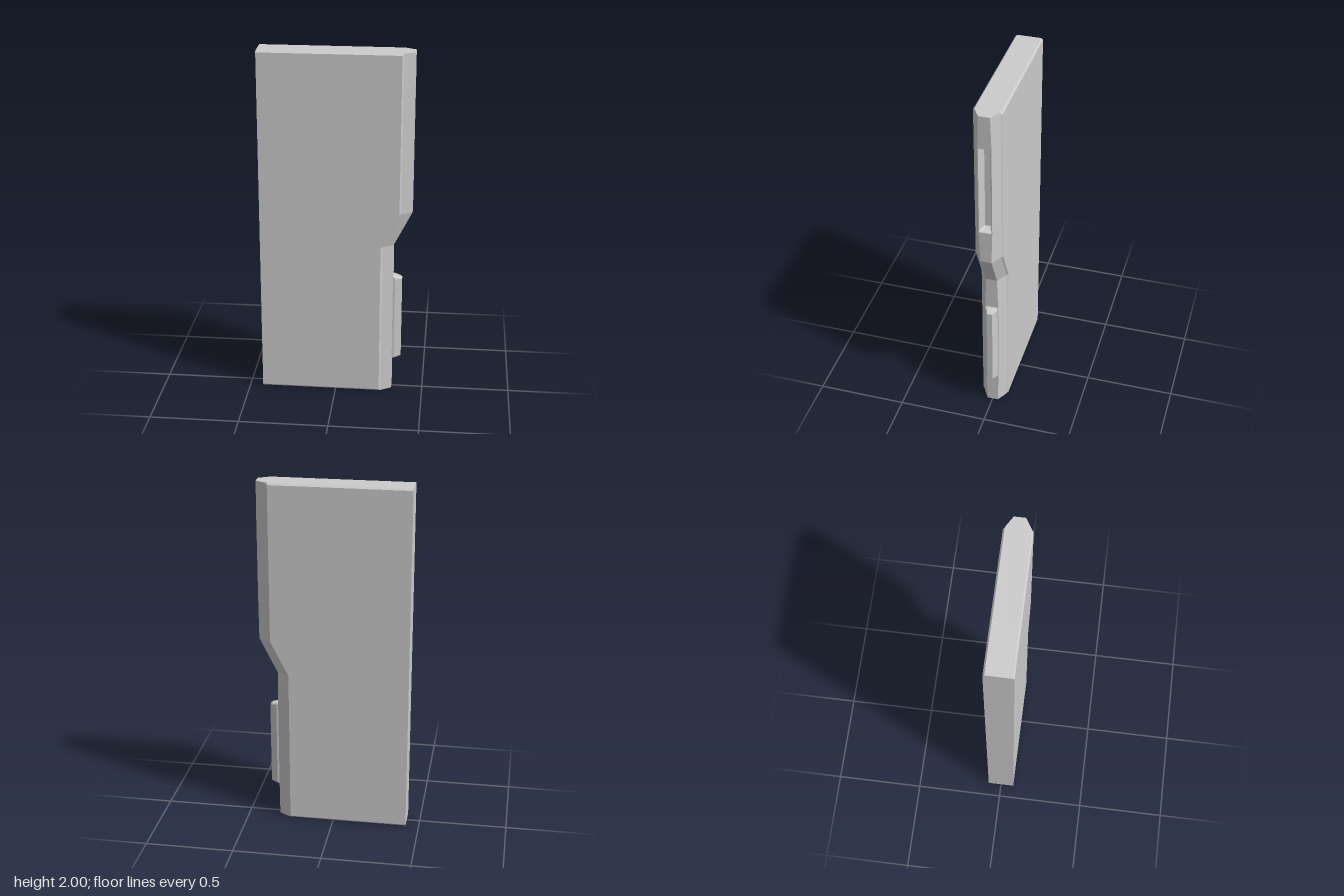
import * as THREE from 'three';

const material = new THREE.MeshStandardMaterial({ color: 0xcccccc, flatShading: true });

// Joins equal-length rings of [x, y, z] points from bottom to top and caps both ends.
function loft(name, rings) {
  const pos = [];
  const tri = (a, b, c) => pos.push(...a, ...b, ...c);
  const n = rings[0].length;
  for (let k = 0; k < rings.length - 1; k++) {
    const lo = rings[k], hi = rings[k + 1];
    for (let i = 0; i < n; i++) {
      const j = (i + 1) % n;
      tri(lo[i], lo[j], hi[j]);
      tri(lo[i], hi[j], hi[i]);
    }
  }
  const bottom = rings[0], top = rings[rings.length - 1];
  for (let i = 1; i < n - 1; i++) {
    tri(bottom[0], bottom[i + 1], bottom[i]);
    tri(top[0], top[i], top[i + 1]);
  }
  const geometry = new THREE.BufferGeometry();
  geometry.setAttribute('position', new THREE.Float32BufferAttribute(pos, 3));
  geometry.computeVertexNormals();
  const mesh = new THREE.Mesh(geometry, material);
  mesh.name = name;
  return mesh;
}

// Mirrors a half outline of [x, z] points across z = 0 at height y.
function ring(y, half) {
  const back = half.slice().reverse().map(([x, z]) => [x, -z]);
  return half.concat(back).map(([x, z]) => [x, y, z]);
}

// Depth and half width of the groove and of the matching tongue.
const tenon = [[0, 0.034], [0.012, 0.034], [0.042, 0.02], [0.05, 0.016]];

// One panel section: e = edge x, t = half width of the edge, d = half depth, p = groove depth 0..1
function panelRing([y, e, t, d, p]) {
  const groove = tenon.map(([x, z]) => [e - x * p, z * t / 0.037]);
  return ring(y, [
    [-0.425, d], [e - 0.07, d], [e - 0.061, Math.min(d, 0.067)], [e, t], ...groove,
  ]);
}

export function createModel() {
  const model = new THREE.Group();
  model.name = 'doorPanel';

  // Slab with a stepped, chamfered edge and a groove in its upper half
  const narrow = 0.322, wide = 0.423, D = 0.077;
  model.add(loft('panel', [
    [0, narrow, 0.031, 0.068, 0],
    [0.01, narrow, 0.0313, D, 0],
    [0.2, narrow, 0.037, D, 0],
    [0.7, narrow, 0.037, D, 0],
    [0.9, narrow, 0.031, D, 0],
    [1.1, wide, 0.031, D, 0],
    [1.292, wide, 0.037, D, 0],
    [1.295, wide, 0.037, D, 0.7],
    [1.305, wide, 0.037, D, 1],
    [1.798, wide, 0.037, D, 1],
    [1.808, wide, 0.037, D, 0.7],
    [1.811, wide, 0.037, D, 0],
    [1.99, wide, 0.0313, D, 0],
    [2, wide, 0.031, 0.068, 0],
  ].map(panelRing)));

  // Tongue on the lower half of the edge
  const tongueRing = ([y, p]) => ring(y, [
    [narrow - 0.01, 0.034], ...tenon.map(([x, z]) => [narrow + x * p, z]),
  ]);
  model.add(loft('tongue', [
    [0.195, 0.2], [0.2, 0.8], [0.208, 1], [0.692, 1], [0.7, 0.8], [0.706, 0.2],
  ].map(tongueRing)));

  return model;
}
